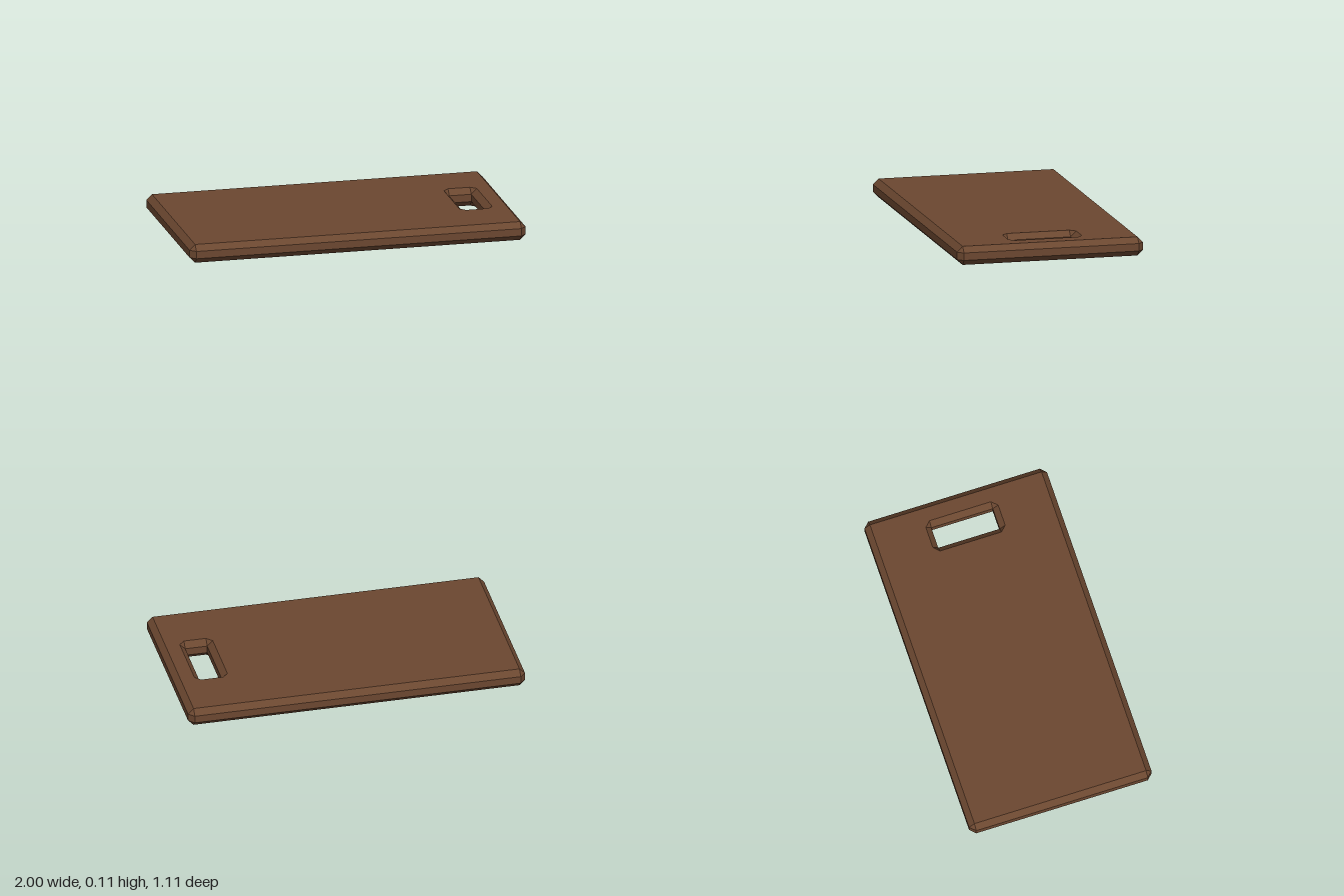
import * as THREE from 'three';

const C = 0.033; // chamfer width
const H = 0.11; // board thickness

// Rectangle ring with cut corners, always eight points
function ring(cx, hx, hz, cut, y) {
  return [
    [hx, hz - cut], [hx - cut, hz], [cut - hx, hz], [-hx, hz - cut],
    [-hx, cut - hz], [cut - hx, -hz], [hx - cut, -hz], [hx, cut - hz],
  ].map(([x, z]) => [cx + x, y, z]);
}

// Chamfered slab with a chamfered slot: rings run up the outside, across the
// top, down through the slot and back along the underside
function boardGeometry() {
  const X = 1, Z = 0.555; // outer half sizes
  const cx = 0.786, sx = 0.065, sz = 0.187; // slot centre and half sizes
  const rings = [
    ring(0, X - C, Z - C, 0, 0),
    ring(0, X, Z, C, C),
    ring(0, X, Z, C, H - C),
    ring(0, X - C, Z - C, 0, H),
    ring(cx, sx + C, sz + C, C, H),
    ring(cx, sx, sz, 0, H - C),
    ring(cx, sx, sz, 0, C),
    ring(cx, sx + C, sz + C, C, 0),
  ];
  const pos = [];
  rings.forEach((r, i) => {
    const up = rings[(i + 1) % rings.length];
    for (let j = 0; j < 8; j++) {
      const k = (j + 1) % 8;
      pos.push(...r[j], ...up[j], ...r[k], ...r[k], ...up[j], ...up[k]);
    }
  });
  const geo = new THREE.BufferGeometry();
  geo.setAttribute('position', new THREE.Float32BufferAttribute(pos, 3));
  geo.computeVertexNormals(); // unshared corners give flat faces
  return geo;
}

export function createModel() {
  const group = new THREE.Group();
  group.name = 'cuttingBoard';
  const wood = new THREE.MeshStandardMaterial({ color: 0x6b4730 });
  wood.name = 'dark brown wood';
  const board = new THREE.Mesh(boardGeometry(), wood);
  board.name = 'board';
  group.add(board);
  return group;
}
